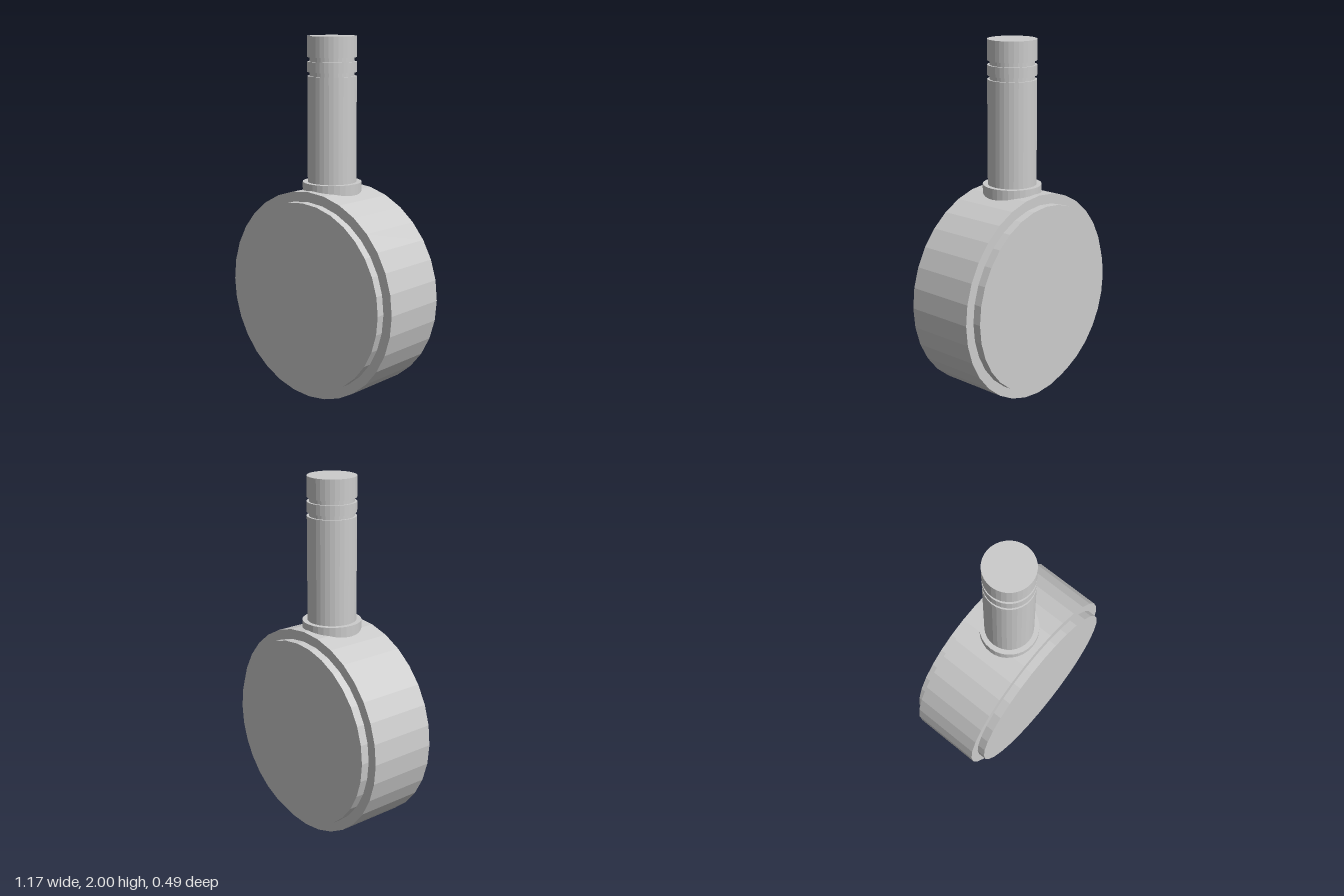
import * as THREE from 'three';

const SIDES = 32;
const WHEEL_Y = 0.585;

export function createModel() {
  const model = new THREE.Group();
  const material = new THREE.MeshStandardMaterial({ color: 0xcccccc, flatShading: true });

  const add = (name, geometry) => {
    const mesh = new THREE.Mesh(geometry, material);
    mesh.name = name;
    model.add(mesh);
    return mesh;
  };

  // Wheel: broad tread with a raised disc on each face
  const disc = (name, radius, width, z) => {
    const geometry = new THREE.CylinderGeometry(radius, radius, width, SIDES);
    geometry.rotateX(Math.PI / 2);
    add(name, geometry).position.set(0, WHEEL_Y, z);
  };
  disc('wheelTread', 0.585, 0.396, 0);
  for (const side of [1, -1]) {
    disc(side > 0 ? 'frontHubDisc' : 'backHubDisc', 0.53, 0.066, side * 0.212);
  }

  // Collar seated in the top of the wheel
  const collar = new THREE.CylinderGeometry(0.163, 0.163, 0.125, SIDES);
  add('stemCollar', collar).position.y = 1.1425;

  // Stem with two retaining grooves near its top
  const r = 0.135, g = 0.122;
  const profile = [
    [0, 1.1], [r, 1.1], [r, 1.785], [g, 1.785], [g, 1.807], [r, 1.807],
    [r, 1.863], [g, 1.863], [g, 1.887], [r, 1.887], [r, 2], [0, 2],
  ].map(([x, y]) => new THREE.Vector2(x, y));
  add('stem', new THREE.LatheGeometry(profile, SIDES));

  return model;
}
